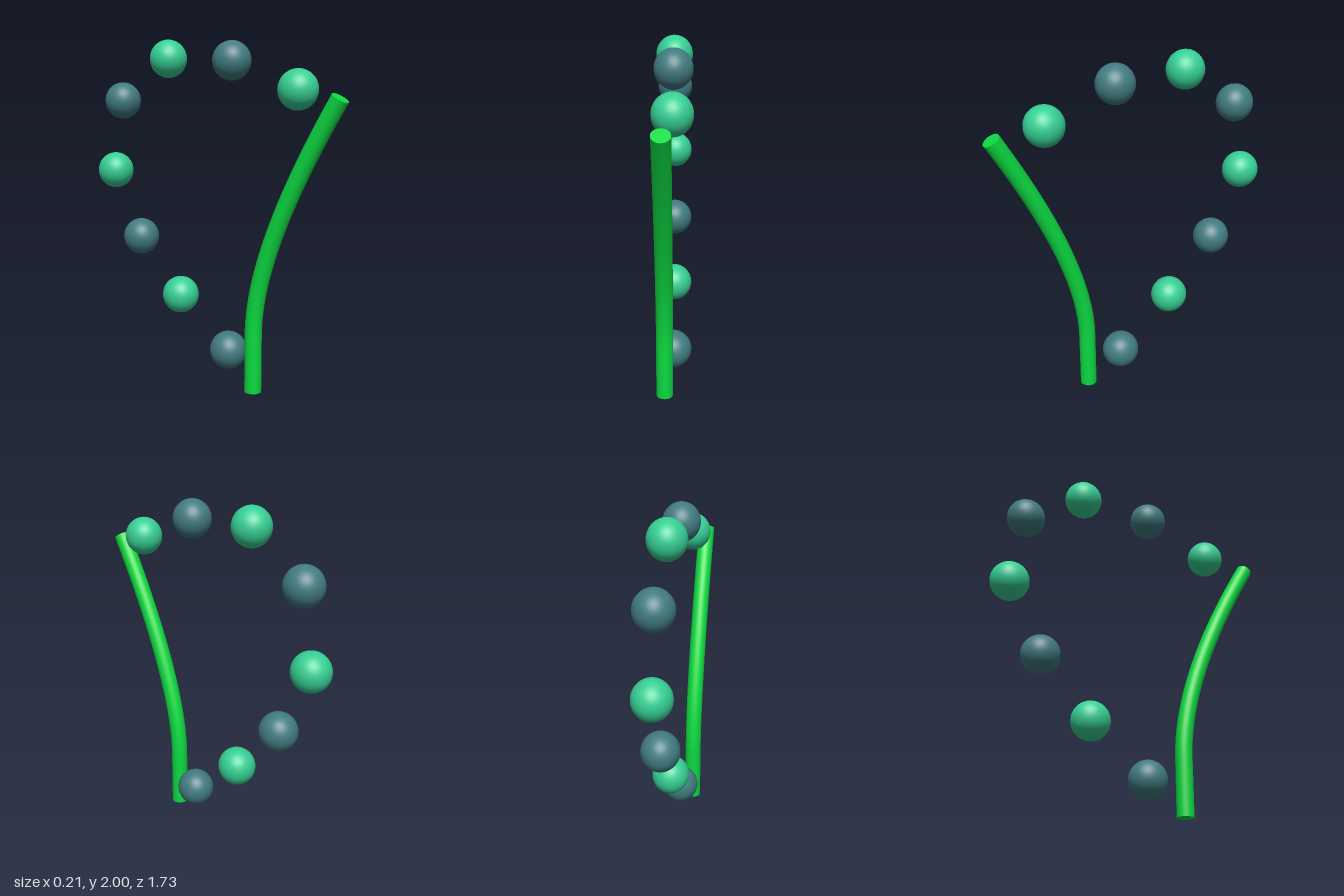
import * as THREE from 'three';

const material = (name, color) => {
  const m = new THREE.MeshStandardMaterial({ color });
  m.name = name;
  return m;
};

export function createModel() {
  const group = new THREE.Group();
  group.name = 'beadsAndCurvedRod';
  const rodGreen = material('bright green', 0x0bd940);
  const mint = material('mint green', 0x36cf94);
  const teal = material('dark teal', 0x417b80);

  // Curved rod: a short straight foot, then a forward-leaning bend
  const p = (y, z) => new THREE.Vector3(-0.049, y, z);
  const radius = 0.049;
  const path = new THREE.CurvePath();
  path.add(new THREE.LineCurve3(p(0.003, 0.318), p(0.337, 0.318)));
  path.add(new THREE.QuadraticBezierCurve3(p(0.337, 0.318), p(0.83, 0.318), p(1.679, 0.827)));
  const rod = new THREE.Group();
  rod.name = 'rod';
  const shaft = new THREE.Mesh(new THREE.TubeGeometry(path, 48, radius, 32), rodGreen);
  shaft.name = 'rodShaft';
  rod.add(shaft);

  // Flat caps closing both ends of the rod
  for (const [name, t, sign] of [['rodBottomCap', 0, -1], ['rodTopCap', 1, 1]]) {
    const cap = new THREE.Mesh(new THREE.CircleGeometry(radius, 32), rodGreen);
    cap.name = name;
    cap.position.copy(path.getPointAt(t));
    cap.quaternion.setFromUnitVectors(
      new THREE.Vector3(0, 0, 1),
      path.getTangentAt(t).multiplyScalar(sign)
    );
    rod.add(cap);
  }
  group.add(rod);

  // Arc of beads in alternating colours, listed as [y, z] from the foot round to the tip
  const beadGeometry = new THREE.SphereGeometry(0.111, 40, 28);
  beadGeometry.scale(0.965, 1, 1);
  const centres = [
    [0.198, 0.114], [0.48, -0.24], [0.808, -0.549], [1.211, -0.753],
    [1.646, -0.682], [1.893, -0.321], [1.877, 0.13], [1.72, 0.554],
  ];
  centres.forEach(([y, z], i) => {
    const bead = new THREE.Mesh(beadGeometry, i % 2 ? mint : teal);
    bead.name = `bead${i + 1}`;
    bead.position.set(0, y, z);
    group.add(bead);
  });

  return group;
}
